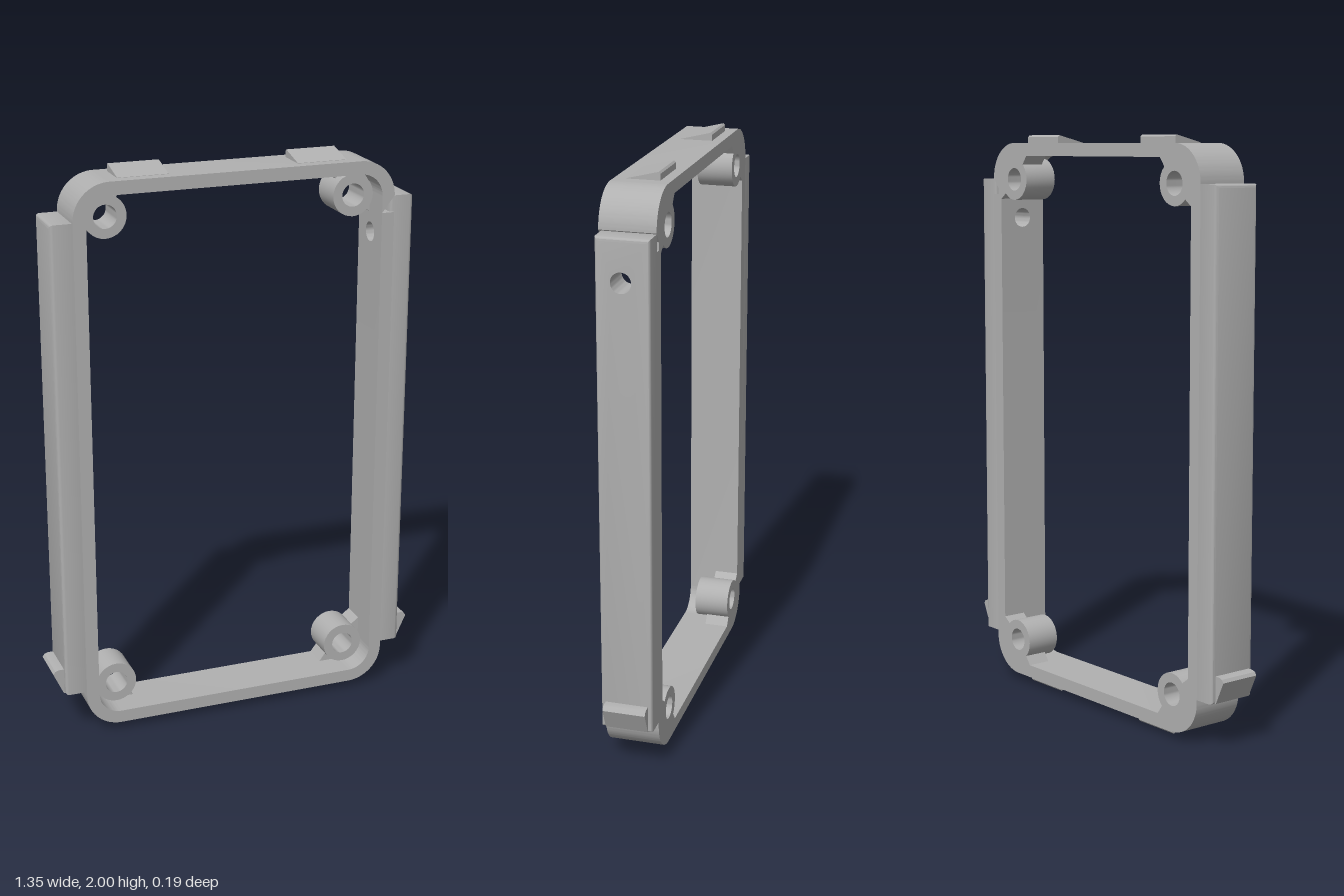
import * as THREE from 'three';
import { toCreasedNormals } from 'three/addons/utils/BufferGeometryUtils.js';

const CY = 1, BACK = -0.093, FRONT = 0.093;
const XO = 0.563, XI = 0.518, YO = 0.973, YI = 0.928; // frame half sizes
const RO = 0.125, RI = 0.08;
const HOLE_Y = 1.705, HOLE_R = 0.034;
const GAP_LOW = 1.62, GAP_HIGH = 1.79;

const polygon = (pts) => new THREE.Shape(pts.map(([x, y]) => new THREE.Vector2(x, y)));
const rect = (x0, y0, x1, y1) => polygon([[x0, y0], [x1, y0], [x1, y1], [x0, y1]]);
const circle = (x, y, r) => new THREE.Path().absarc(x, y, r, 0, Math.PI * 2, true);

function extrude(shape, depth, options = {}) {
  return new THREE.ExtrudeGeometry(shape, { depth, bevelEnabled: false, curveSegments: 16, ...options });
}

export function createModel() {
  const model = new THREE.Group();
  const grey = new THREE.MeshStandardMaterial({ color: 0xb0b0b0 });
  grey.name = 'grey';
  const add = (name, geometry) => {
    const mesh = new THREE.Mesh(toCreasedNormals(geometry, 0.6), grey);
    mesh.name = name;
    model.add(mesh);
    return mesh;
  };

  // Rounded frame, left open where the drilled wall section fits
  const P = Math.PI, H = P / 2;
  const ox = XO - RO, oy = YO - RO;
  const ring = new THREE.Shape();
  ring.moveTo(XO, GAP_HIGH);
  ring.absarc(ox, CY + oy, RO, 0, H);
  ring.absarc(-ox, CY + oy, RO, H, P);
  ring.absarc(-ox, CY - oy, RO, P, P + H);
  ring.absarc(ox, CY - oy, RO, P + H, 2 * P);
  ring.lineTo(XO, GAP_LOW);
  ring.lineTo(XI, GAP_LOW);
  ring.absarc(ox, CY - oy, RI, 2 * P, P + H, true);
  ring.absarc(-ox, CY - oy, RI, P + H, P, true);
  ring.absarc(-ox, CY + oy, RI, P, H, true);
  ring.absarc(ox, CY + oy, RI, H, 0, true);
  ring.lineTo(XI, GAP_HIGH);
  add('frame', extrude(ring, FRONT - BACK).translate(0, 0, BACK));

  // Wall section with the round hole
  const wall = rect(-FRONT, GAP_LOW, -BACK, GAP_HIGH);
  wall.holes.push(circle(0, HOLE_Y, HOLE_R));
  add('drilledWall', extrude(wall, XO - XI).rotateY(H).translate(XI, 0, 0));

  // Side rails with softened edges; only the left one is drilled
  const b = 0.012, railStart = 0.55, railEnd = 0.637;
  for (const side of [1, -1]) {
    const z0 = -side * BACK, z1 = -side * 0.084;
    const lo = Math.min(z0, z1) + b, hi = Math.max(z0, z1) - b;
    const shape = rect(lo, 0.165 + b, hi, 1.845 - b);
    if (side > 0) shape.holes.push(circle(0, HOLE_Y, HOLE_R));
    const geometry = extrude(shape, railEnd - railStart - 2 * b, {
      bevelEnabled: true, bevelSize: b, bevelThickness: b, bevelSegments: 3,
    });
    // Keep the hole straight through the softened edges
    const pos = geometry.attributes.position;
    for (let i = 0; side > 0 && i < pos.count; i++) {
      const dx = pos.getX(i), dy = pos.getY(i) - HOLE_Y, d = Math.hypot(dx, dy);
      if (d < 0.055) pos.setXY(i, dx / d * HOLE_R, HOLE_Y + dy / d * HOLE_R);
    }
    geometry.computeVertexNormals();
    geometry.rotateY(side * H).translate(side * (railStart + b), 0, 0);
    add(side > 0 ? 'leftRail' : 'rightRail', geometry);

    // Catch near the foot of the rail
    const catchShape = polygon([[0.62, 0.168], [0.64, 0.168], [0.675, 0.245], [0.668, 0.256], [0.655, 0.26], [0.62, 0.26]]
      .map(([x, y]) => [side * x, y]));
    add(side > 0 ? 'leftCatch' : 'rightCatch', extrude(catchShape, 0.146).translate(0, 0, -0.078));
  }

  // Screw bosses and the webs that tie them into the corners
  const bossShape = new THREE.Shape().absarc(0, 0, 0.073, 0, 2 * P);
  bossShape.holes.push(circle(0, 0, 0.04));
  const web = new THREE.Shape();
  web.moveTo(0.1, -0.085);
  web.lineTo(0.1, 0.04);
  web.lineTo(0.04, 0.1);
  web.lineTo(-0.085, 0.1);
  web.absarc(0, 0, 0.06, 0.75 * P, -0.25 * P, true);
  [[1, 1], [-1, 1], [-1, -1], [1, -1]].forEach(([sx, sy], k) => {
    const place = (mesh) => {
      mesh.position.set(sx * 0.437, CY + sy * 0.845, BACK);
      mesh.rotation.z = k * H;
    };
    place(add('screwBoss', extrude(bossShape, 0.125)));
    place(add('cornerWeb', extrude(web, 0.085)));
  });

  // Wedge clips on the top and bottom edges
  for (const sy of [1, -1]) {
    for (const x of [-0.4, 0.225]) {
      const wedge = polygon([[-0.052, 0.96], [0.058, 0.96], [0.058, 0.994], [0.052, 1], [-0.052, 0.974]]
        .map(([z, y]) => [z, CY + sy * y]));
      add(sy > 0 ? 'topClip' : 'bottomClip', extrude(wedge, 0.175).rotateY(H).translate(x, 0, 0));
    }
  }
  return model;
}
